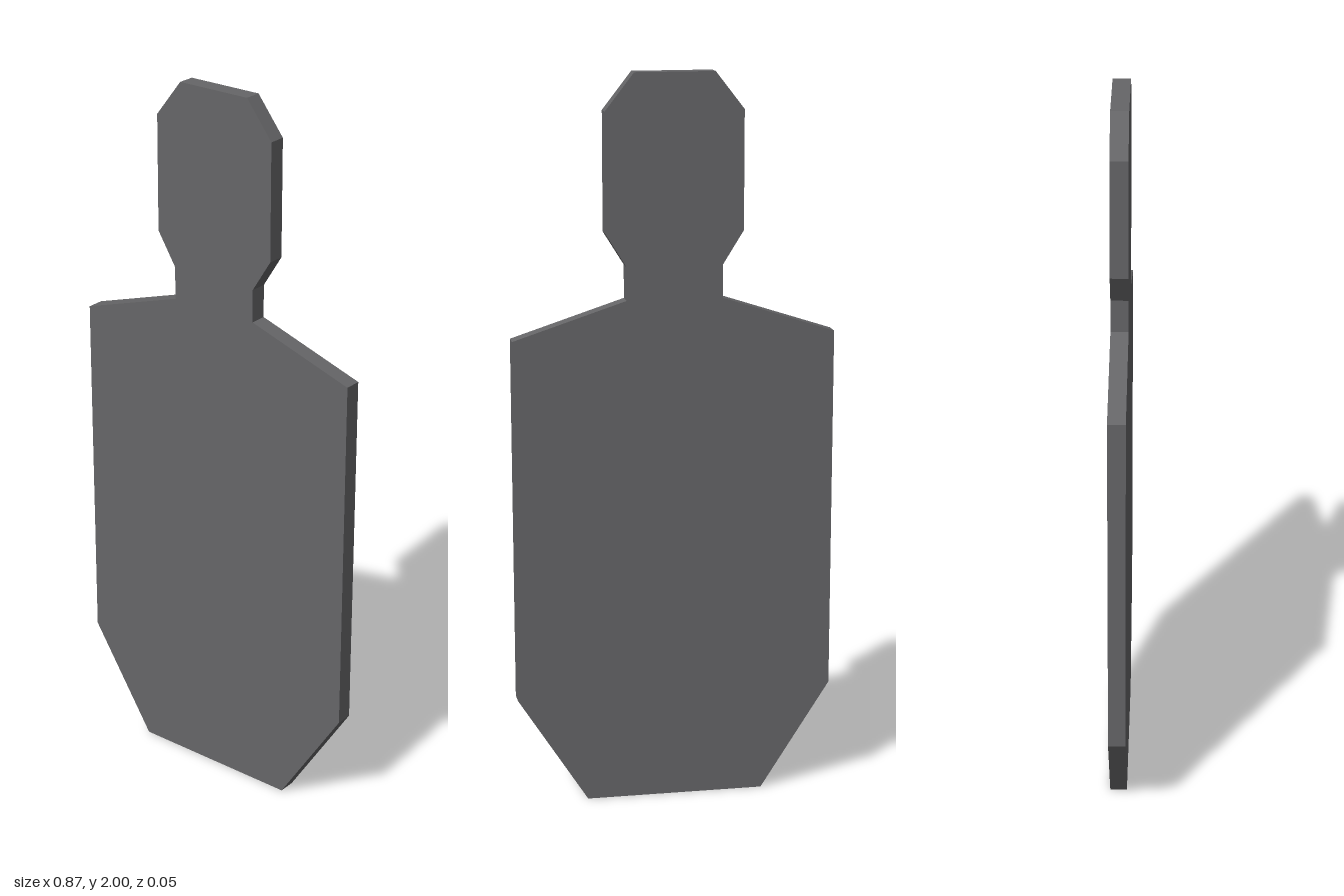
import * as THREE from 'three';

export function createModel() {
  const model = new THREE.Group();
  model.name = 'silhouetteTarget';

  const steel = new THREE.MeshStandardMaterial({ color: 0x666668 });
  steel.name = 'darkGreySteel';

  // Right-hand half of the outline, from base to crown
  const half = [
    [0.245, 0], [0.437, 0.3], [0.437, 1.3], // tapered base and torso
    [0.13, 1.4], [0.13, 1.49],              // shoulder and neck
    [0.186, 1.58], [0.186, 1.9], [0.108, 2], // head
  ];
  const mirrored = half.map(([x, y]) => [-x, y]).reverse();
  const outline = new THREE.Shape(
    [...half, ...mirrored].map(([x, y]) => new THREE.Vector2(x, y))
  );

  // Flat plate, centred on z = 0
  const depth = 0.047;
  const geometry = new THREE.ExtrudeGeometry(outline, { depth, bevelEnabled: false });
  geometry.translate(0, 0, -depth / 2);

  const plate = new THREE.Mesh(geometry, steel);
  plate.name = 'targetPlate';
  model.add(plate);

  return model;
}
